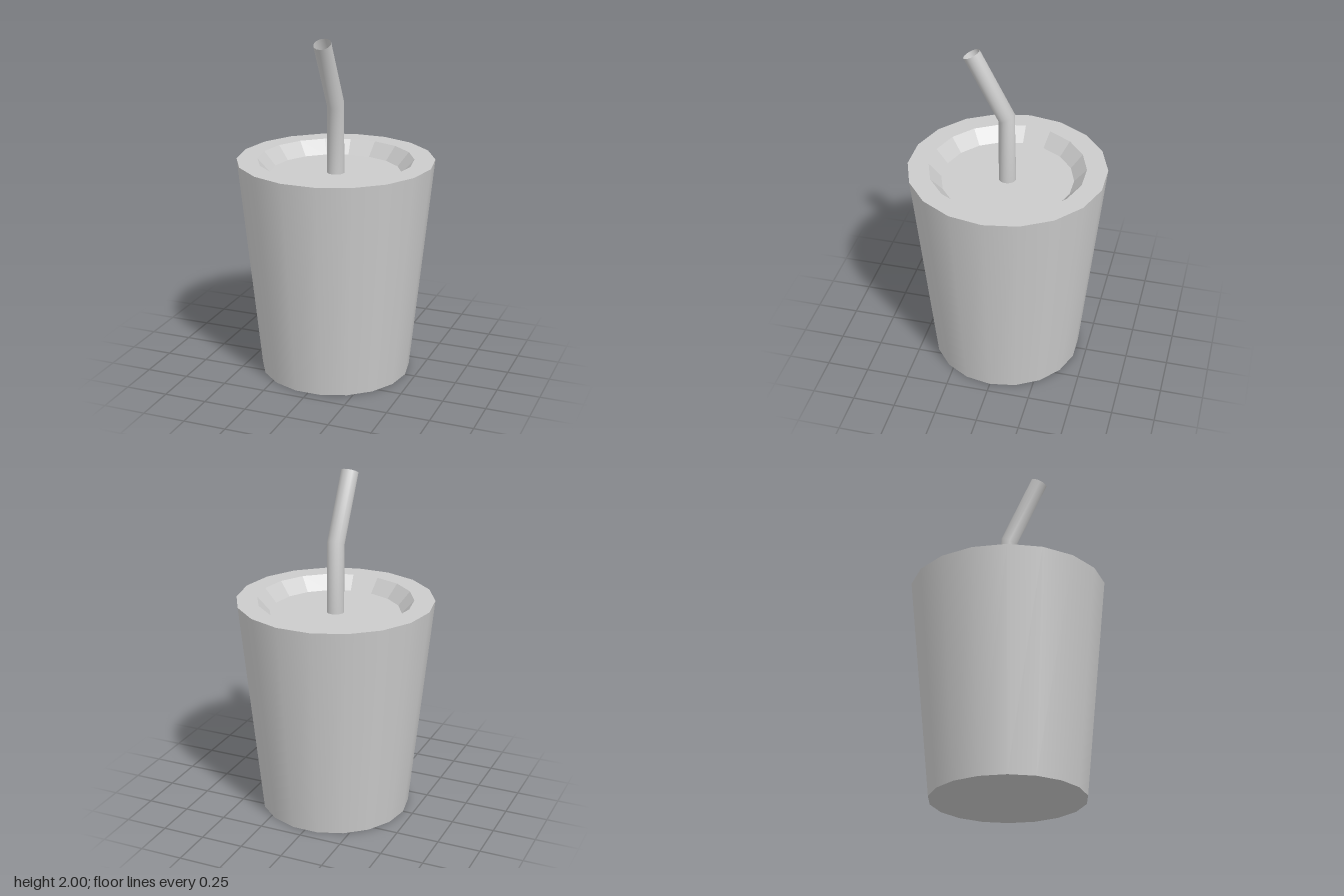
import * as THREE from 'three';
import { mergeVertices } from 'three/addons/utils/BufferGeometryUtils.js';

const SIDES = 18;
const TOP = 1.28, FLOOR = 1.2, R_TOP = 0.57, R_BOTTOM = 0.44;

const smooth = new THREE.MeshStandardMaterial({ color: 0xcccccc });
const faceted = new THREE.MeshStandardMaterial({ color: 0xcccccc, flatShading: true });
const thin = new THREE.MeshStandardMaterial({ color: 0xcccccc, side: THREE.DoubleSide });

function part(name, geometry, material) {
  const mesh = new THREE.Mesh(geometry, material);
  mesh.name = name;
  return mesh;
}

// Faceted ring surface, with a corner on the x axis
function lathe(points) {
  return new THREE.LatheGeometry(points.map(([r, y]) => new THREE.Vector2(r, y)), SIDES, Math.PI / 2);
}

// Open tube: a cylinder whose rings are moved and tilted to follow the bend
function strawGeometry() {
  const radius = 0.05;
  const rings = [
    { y: FLOOR - 0.01, z: 0, tilt: 0 },
    { y: 1.606, z: 0.005, tilt: 0.47 },
    { y: 1.978, z: 0.2, tilt: 0.47 },
  ];
  const geometry = new THREE.CylinderGeometry(radius, radius, 2, SIDES, 2, true);
  const pos = geometry.attributes.position;
  for (let i = 0; i < pos.count; i++) {
    const { y, z, tilt } = rings[Math.round(pos.getY(i)) + 1];
    const depth = pos.getZ(i);
    pos.setY(i, y - depth * Math.sin(tilt));
    pos.setZ(i, z + depth * Math.cos(tilt));
  }
  geometry.deleteAttribute('uv');
  geometry.deleteAttribute('normal');
  const merged = mergeVertices(geometry);
  merged.computeVertexNormals();
  return merged;
}

export function createModel() {
  const model = new THREE.Group();
  model.name = 'drinkCup';

  // Tapered cup wall
  const wall = new THREE.CylinderGeometry(R_TOP, R_BOTTOM, TOP, SIDES, 1, true, Math.PI / 2);
  wall.translate(0, TOP / 2, 0);
  model.add(part('cupWall', wall, smooth));

  // Flat base
  model.add(part('cupBase', lathe([[0, 0], [R_BOTTOM, 0]]), faceted));

  // Lid: flat rim, sloping recess and sunken floor
  model.add(part('lid', lathe([[R_TOP, TOP], [0.45, TOP], [0.38, FLOOR], [0, FLOOR]]), faceted));

  // Bent drinking straw
  model.add(part('straw', strawGeometry(), thin));

  return model;
}
